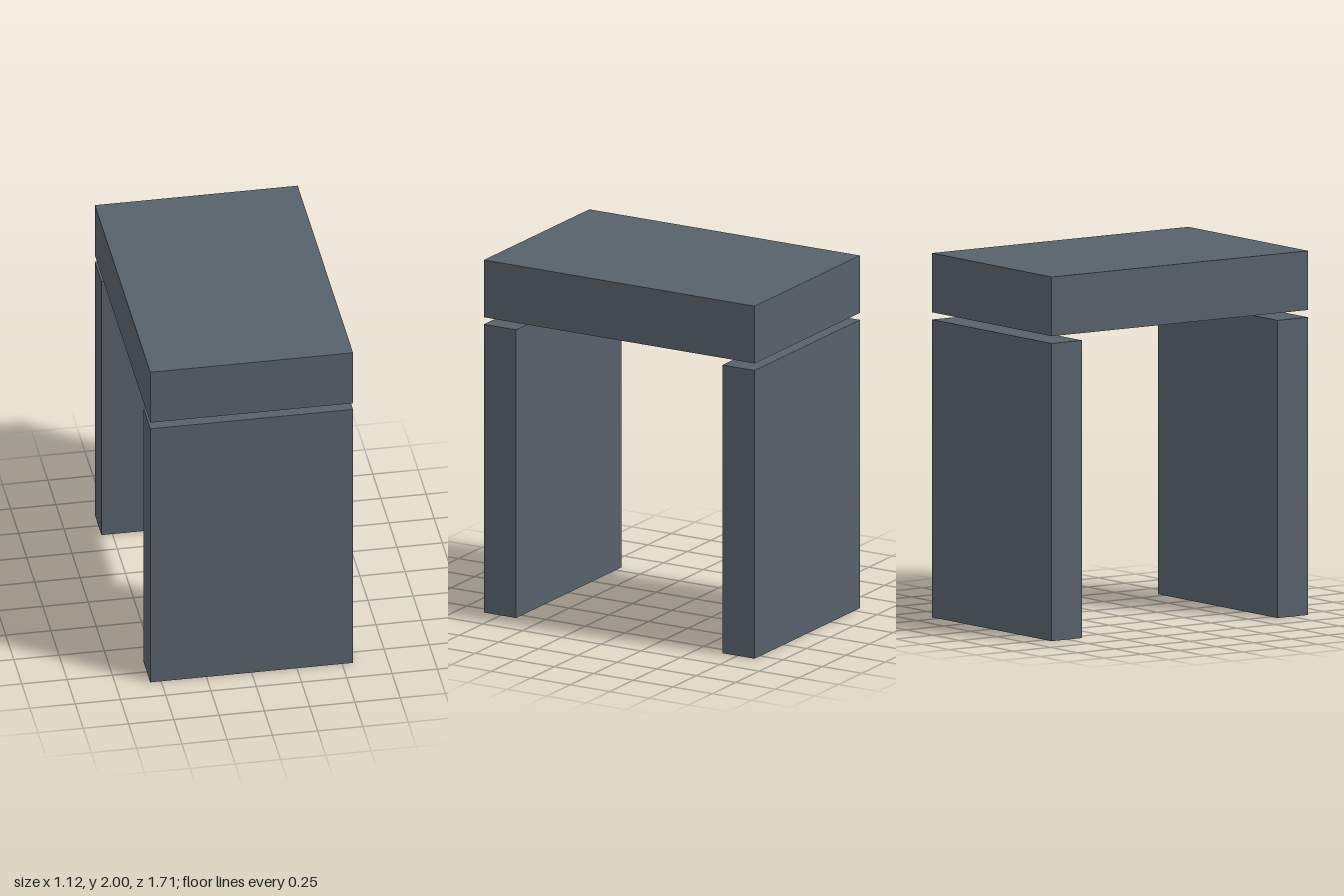
import * as THREE from 'three';

export function createModel() {
  const model = new THREE.Group();
  model.name = 'bench';

  const slate = new THREE.MeshStandardMaterial({ color: 0x56616a });
  slate.name = 'slate grey';

  const width = 1.12, depth = 1.714;
  const legHeight = 1.635, legDepth = 0.204;
  const topBottom = 1.675, topHeight = 2 - topBottom;

  const addSlab = (name, height, slabDepth, bottom, z) => {
    const mesh = new THREE.Mesh(new THREE.BoxGeometry(width, height, slabDepth), slate);
    mesh.name = name;
    mesh.position.set(0, bottom + height / 2, z);
    model.add(mesh);
  };

  // Thick top floating just above the legs
  addSlab('topSlab', topHeight, depth, topBottom, 0);

  // Full-width panel legs, flush with the front and back ends
  const legZ = (depth - legDepth) / 2;
  addSlab('frontLeg', legHeight, legDepth, 0, legZ);
  addSlab('backLeg', legHeight, legDepth, 0, -legZ);

  return model;
}
